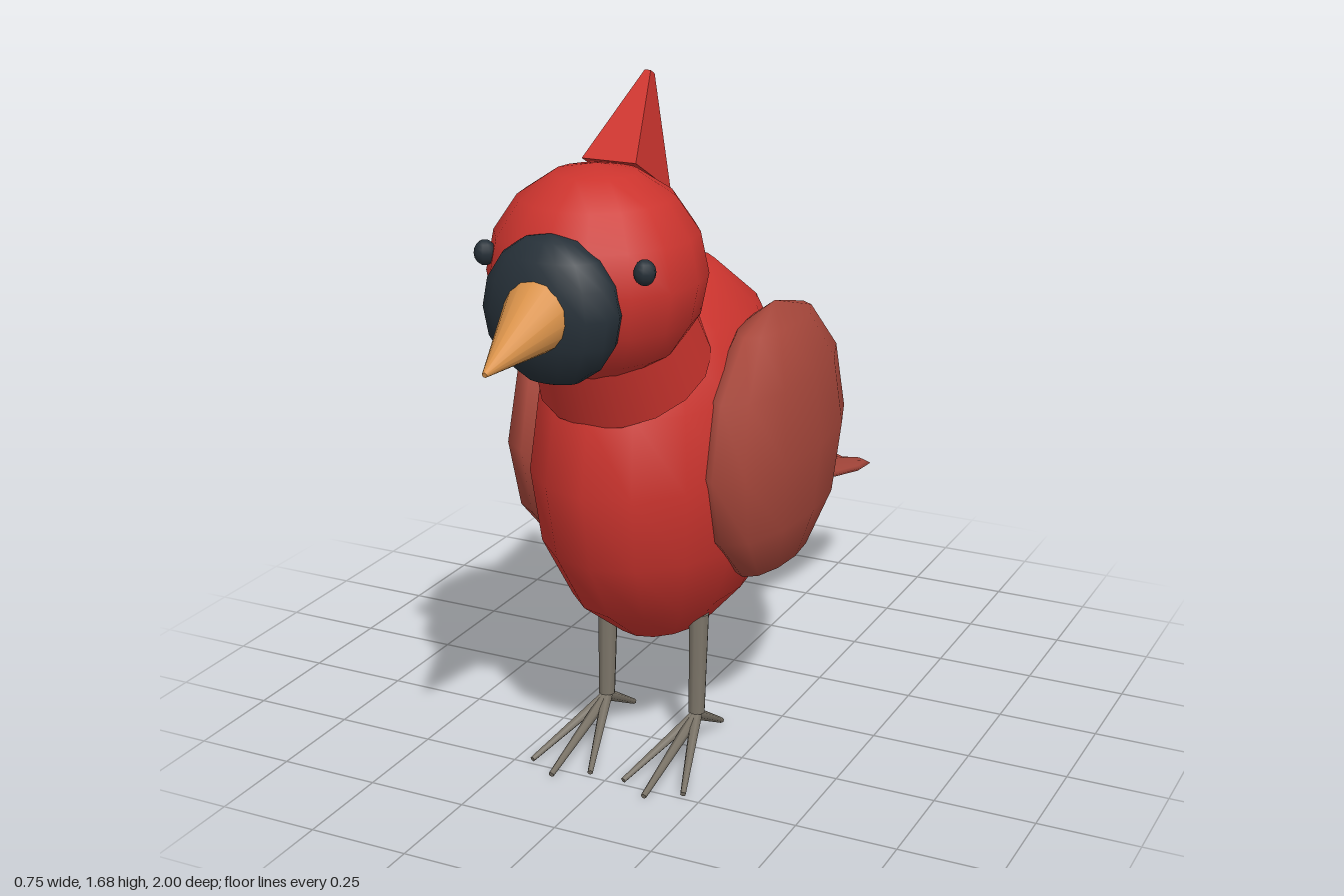
import * as THREE from 'three';

const paint = (name, color) => {
  const m = new THREE.MeshStandardMaterial({ color });
  m.name = name;
  return m;
};

export function createModel() {
  const red = paint('red plumage', 0xcc342e);
  const dusky = paint('dusky red feathers', 0xa7473b);
  const dark = paint('dark slate', 0x263038);
  const orange = paint('beak orange', 0xd9924a);
  const grey = paint('leg grey', 0x7b7468);

  const bird = new THREE.Group();
  bird.name = 'bird';

  const add = (name, geometry, material, pos = [0, 0, 0]) => {
    const mesh = new THREE.Mesh(geometry, material);
    mesh.name = name;
    mesh.position.set(...pos);
    bird.add(mesh);
    return mesh;
  };

  // Sphere stretched to the given radii
  const ellipsoid = (name, material, pos, radii, w = 16, h = 8) =>
    add(name, new THREE.SphereGeometry(1, w, h).scale(...radii), material, pos);

  // Tapered round limb running from a to b
  const limb = (name, material, a, b, ra, rb, sides = 8) => {
    const from = new THREE.Vector3(...a);
    const to = new THREE.Vector3(...b);
    const dir = to.clone().sub(from);
    const mesh = add(name, new THREE.CylinderGeometry(rb, ra, dir.length(), sides), material);
    mesh.position.copy(from).add(to).multiplyScalar(0.5);
    mesh.quaternion.setFromUnitVectors(new THREE.Vector3(0, 1, 0), dir.normalize());
    return mesh;
  };

  // Body, neck and head
  ellipsoid('body', red, [0, 0.76, 0.165], [0.29, 0.483, 0.428]);
  limb('neck', red, [0, 1.02, 0.375], [0, 1.19, 0.465], 0.208, 0.188, 16);
  ellipsoid('head', red, [0, 1.275, 0.5], [0.25, 0.247, 0.25]);

  // Face
  ellipsoid('mask', dark, [0, 1.24, 0.71], [0.165, 0.17, 0.092]);
  limb('beak', orange, [0, 1.25, 0.74], [0, 1.176, 0.998], 0.092, 0.006, 16);

  // Crest: four-sided flat-faced spike leaning backwards
  const spike = new THREE.CylinderGeometry(0.016, 0.141, 0.245, 4, 1)
    .rotateY(Math.PI / 4)
    .scale(0.68, 1, 1)
    .toNonIndexed();
  spike.computeVertexNormals();
  add('crest', spike, red, [0, 1.573, 0.294]).rotation.x = -0.505;

  // Tail: three overlapping flat feathers
  for (const x of [-0.07, 0, 0.07]) {
    ellipsoid('tailFeather', dusky, [x, 0.452, -0.583], [0.09, 0.019, 0.43], 12, 8).rotation.x = -0.255;
  }

  // Paired parts
  for (const s of [1, -1]) {
    const side = s > 0 ? 'left' : 'right';
    ellipsoid(side + 'Eye', dark, [s * 0.197, 1.333, 0.655], [0.025, 0.029, 0.025], 10, 8);
    ellipsoid(side + 'Wing', dusky, [s * 0.25, 0.785, 0.08], [0.125, 0.345, 0.35], 12, 6);

    const x = s * 0.125;
    limb(side + 'Leg', grey, [x, 0.36, 0.234], [x, 0.1, 0.247], 0.026, 0.021, 8);

    // Toes: three forward, one back
    const tips = [[-0.08, 0.49], [0, 0.54], [0.08, 0.49], [0, 0.1]];
    for (const [dx, z] of tips) {
      limb(side + 'Toe', grey, [x, 0.094, 0.247], [x + dx, 0.009, z], 0.015, 0.007, 6);
    }
  }

  return bird;
}
